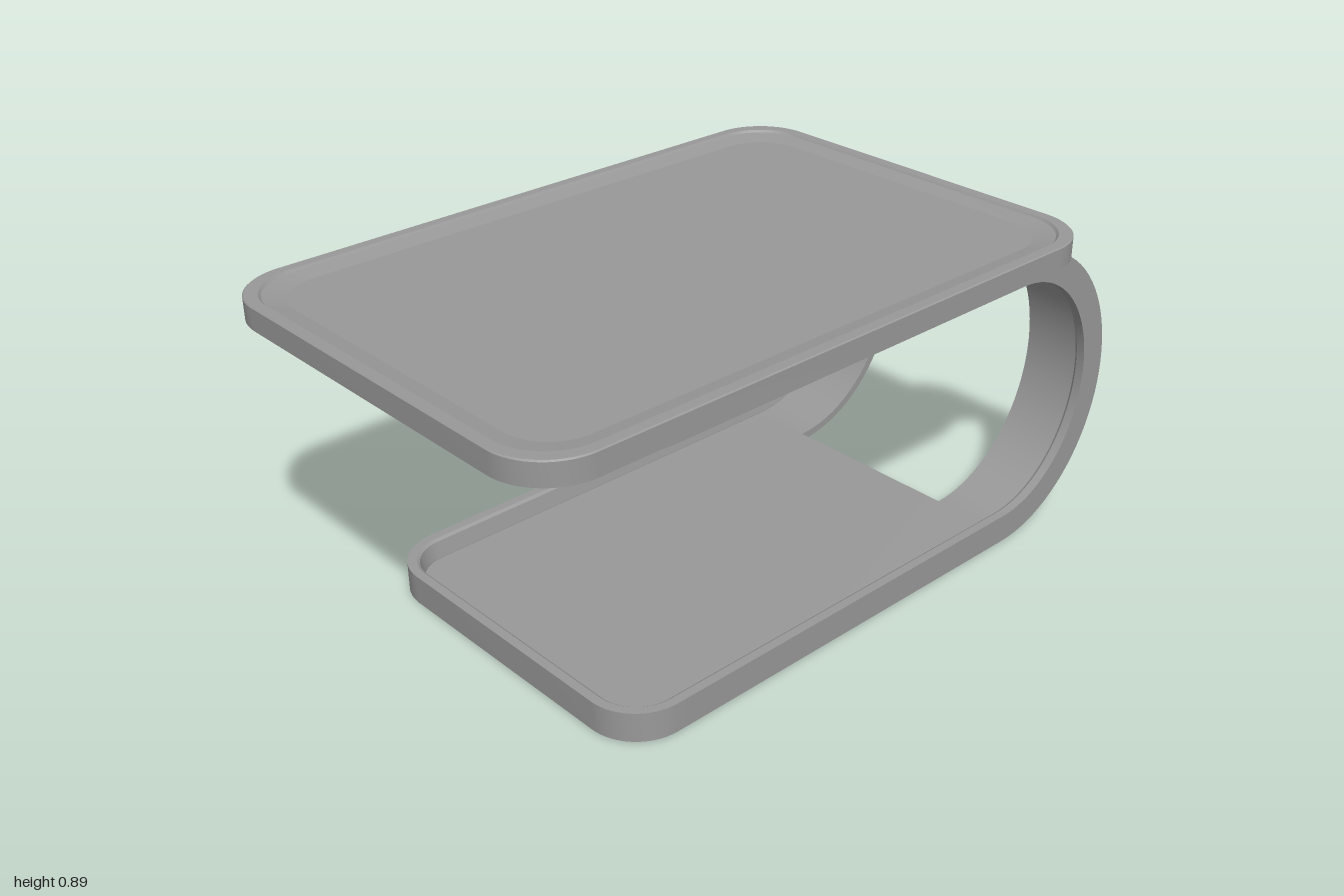
import * as THREE from 'three';
import { toCreasedNormals } from 'three/addons/utils/BufferGeometryUtils.js';

// C-shaped frame dimensions
const H = 0.835;          // frame height
const BEND_X = 0.62;      // where the bend starts
const BEND_R = 0.38;      // horizontal reach of the bend
const ARC = Math.PI * 0.4; // developed length of the bend
const HALF_S = ARC / 2 + 1.32; // half of the developed frame length
const HALF_Z = 0.487;
const LEG_IN = 0.265;     // inner edge of each leg band

// Skin a list of rings of equal length; each ring is closed.
function loft(rings) {
  const pos = [];
  const tri = new THREE.Triangle();
  const add = (a, b, c) => {
    tri.set(a, b, c);
    if (tri.getArea() > 1e-9) pos.push(...a.toArray(), ...b.toArray(), ...c.toArray());
  };
  for (let i = 0; i < rings.length - 1; i++) {
    const p = rings[i], q = rings[i + 1], n = p.length;
    for (let j = 0; j < n; j++) {
      const k = (j + 1) % n;
      add(p[j], q[j], q[k]);
      add(p[j], q[k], p[k]);
    }
  }
  const g = new THREE.BufferGeometry();
  g.setAttribute('position', new THREE.Float32BufferAttribute(pos, 3));
  return toCreasedNormals(g, 0.15);
}

// Rounded rectangle loop; the edges along u are cut into `cuts` pieces.
function roundedLoop(hu, hv, r, cuts = 1) {
  const pts = [], seg = 16;
  const signs = [[1, 1], [-1, 1], [-1, -1], [1, -1]];
  signs.forEach(([su, sv], c) => {
    for (let i = 0; i <= seg; i++) {
      const a = (c + i / seg) * Math.PI / 2;
      pts.push([su * (hu - r) + r * Math.cos(a), sv * (hv - r) + r * Math.sin(a)]);
    }
    if (c % 2 === 0) {
      for (let i = 1; i < cuts; i++) pts.push([su * (hu - r) * (1 - 2 * i / cuts), sv * hv]);
    }
  });
  return pts;
}

// Fold flat frame coordinates (s along, z across, h inward) into the C shape.
function bend(s, z, h) {
  const over = Math.abs(s) - ARC / 2;
  if (over > 0) return new THREE.Vector3(BEND_X - over, s < 0 ? h : H - h, z);
  const a = s * Math.PI / ARC;
  return new THREE.Vector3(
    BEND_X + (BEND_R - h) * Math.cos(a),
    H / 2 + (H / 2 - h) * Math.sin(a), z);
}

// Tabletop: rounded slab with a low border sloping to a flat centre
function tabletopGeometry() {
  const profile = [[0, 0.835], [0, 0.892], [0.003, 0.895],
    [0.029, 0.895], [0.034, 0.889], [0.08, 0.88]];
  const rings = profile.map(([inset, y]) =>
    roundedLoop(0.881 - inset, 0.594 - inset, 0.155 - inset * 0.4)
      .map(([x, z]) => new THREE.Vector3(x - 0.119, y, z)));
  const centre = y => rings[0].map(() => new THREE.Vector3(-0.119, y, 0));
  return loft([centre(0.835), ...rings, centre(0.88)]);
}

// Rim: one continuous lip around both trays and along both legs
function rimGeometry() {
  const profile = [[0, 0], [0, 0.08], [0.024, 0.08], [0.032, 0.074],
    [0.042, 0.03], [0.042, 0.006], [0.015, 0.006], [0.015, 0], [0, 0]];
  return loft(profile.map(([inset, h]) =>
    roundedLoop(HALF_S - inset, HALF_Z - inset, 0.14 - inset, 120)
      .map(([s, z]) => bend(s, z, h))));
}

// Sheet: half of both tray floors plus one leg band, on the given side
function sheetGeometry(side) {
  const S = HALF_S - 0.03, W = HALF_Z - 0.03, r = 0.11;
  const rings = [];
  const ring = (s, zin) => {
    const d = Math.max(0, Math.abs(s) - (S - r));
    const zout = W - r + Math.sqrt(Math.max(0, r * r - d * d));
    const section = [[zin, 0.006], [zout, 0.006], [zout, 0.028], [zin, 0.028]]
      .map(([z, h]) => bend(s, side * z, h));
    rings.push(side > 0 ? section : section.reverse());
  };
  const corner = [0, 1, 2, 3, 4, 5, 6].map(i => S - r + r * Math.cos(i * Math.PI / 12));
  corner.forEach(s => ring(-s, 0));
  ring(-ARC / 2, 0);
  for (let i = 0; i <= 40; i++) ring(ARC * (i / 40 - 0.5), LEG_IN);
  ring(ARC / 2, 0);
  corner.reverse().forEach(s => ring(s, 0));
  return loft(rings);
}

export function createModel() {
  const group = new THREE.Group();
  group.name = 'sideTable';
  const material = new THREE.MeshStandardMaterial({ color: 0x999999 });
  const add = (name, geometry, parent = group) => {
    const mesh = new THREE.Mesh(geometry, material);
    mesh.name = name;
    parent.add(mesh);
  };

  add('tabletop', tabletopGeometry());

  const frame = new THREE.Group();
  frame.name = 'frame';
  frame.position.z = 0.004;
  group.add(frame);
  add('frameRim', rimGeometry(), frame);
  add('frontTrayAndLeg', sheetGeometry(1), frame);
  add('backTrayAndLeg', sheetGeometry(-1), frame);
  return group;
}
